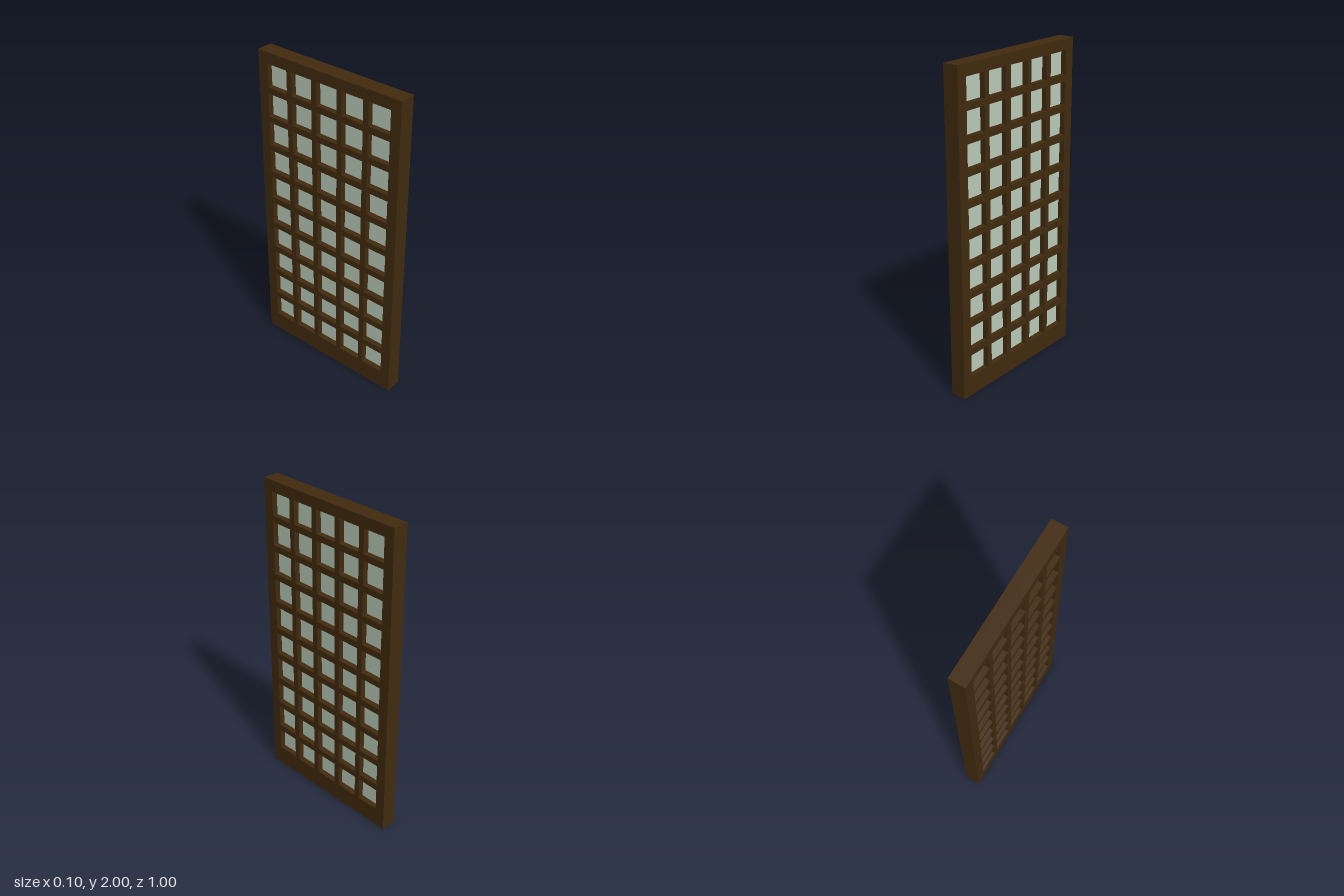
import * as THREE from 'three';

const COLUMNS = 5, ROWS = 10;
const PANE = 0.145;          // opening size
const PITCH_Z = 0.181, PITCH_Y = 0.1847;
const FIRST_Y = 0.196;       // centre of the lowest row
const DEPTH = 0.1, GLASS_DEPTH = 0.03;

export function createModel() {
  const group = new THREE.Group();
  group.name = 'latticePanel';

  const wood = new THREE.MeshStandardMaterial({ color: 0x422b0f });
  wood.name = 'dark wood';
  const glass = new THREE.MeshStandardMaterial({ color: 0xbccdbc });
  glass.name = 'pale green glass';

  // Rectangle outline centred on (x, y)
  const rectangle = (path, x, y, w, h) => path
    .moveTo(x - w / 2, y - h / 2)
    .lineTo(x + w / 2, y - h / 2)
    .lineTo(x + w / 2, y + h / 2)
    .lineTo(x - w / 2, y + h / 2)
    .closePath();

  const outline = rectangle(new THREE.Shape(), 0, 1, 1, 2);
  const paneGeometry = new THREE.BoxGeometry(GLASS_DEPTH, PANE, PANE);
  const panes = new THREE.Group();
  panes.name = 'panes';

  // One opening and one recessed pane per cell
  for (let row = 0; row < ROWS; row++) {
    for (let col = 0; col < COLUMNS; col++) {
      const z = (col - (COLUMNS - 1) / 2) * PITCH_Z;
      const y = FIRST_Y + row * PITCH_Y;
      outline.holes.push(rectangle(new THREE.Path(), -z, y, PANE, PANE));
      const pane = new THREE.Mesh(paneGeometry, glass);
      pane.name = 'pane';
      pane.position.set(0, y, z);
      panes.add(pane);
    }
  }

  // Frame and bars cut from one slab, turned so its broad faces look along x
  const frameGeometry = new THREE.ExtrudeGeometry(outline, { depth: DEPTH, bevelEnabled: false });
  frameGeometry.translate(0, 0, -DEPTH / 2);
  frameGeometry.rotateY(Math.PI / 2);
  const frame = new THREE.Mesh(frameGeometry, wood);
  frame.name = 'frame';

  group.add(frame, panes);
  return group;
}
